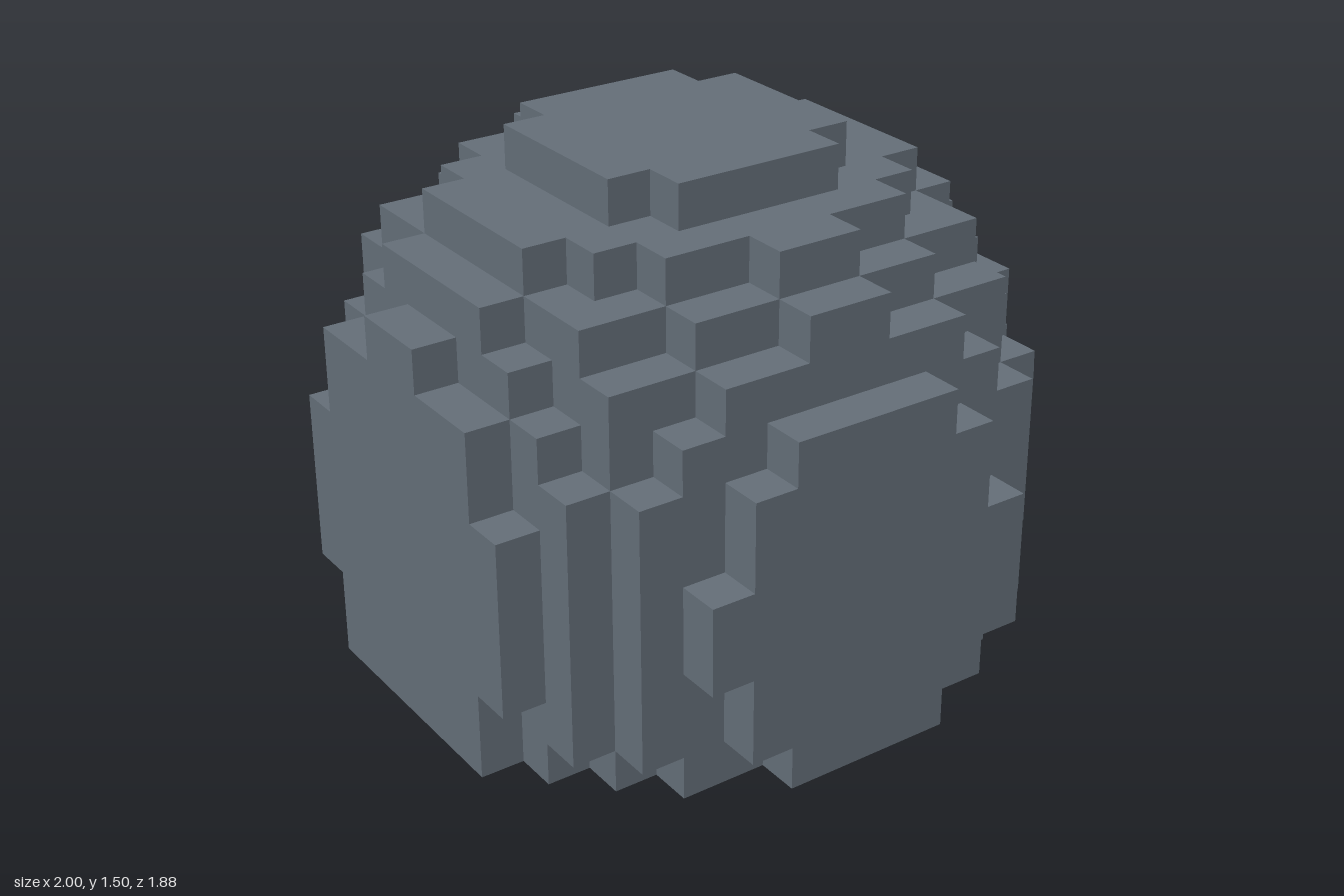
import * as THREE from 'three';
import { mergeGeometries } from 'three/addons/utils/BufferGeometryUtils.js';

// Cell size and grid dimensions
const S = 0.125, NX = 16, NY = 12, NZ = 15;

const inEllipsoid = (c, r) => (i, j, k) =>
  ((i + 0.5 - c[0]) / r[0]) ** 2 + ((j + 0.5 - c[1]) / r[1]) ** 2 + ((k + 0.5 - c[2]) / r[2]) ** 2 <= 1;

// A big blocky dome and a smaller one set into its back corner
const inMain = inEllipsoid([7, 4, 8], [7.8, 8.3, 7.4]);
const inSide = inEllipsoid([10.95, 2.98, 5.05], [5.004, 5.042, 5.004]);

const inGrid = (i, j, k) => i >= 0 && j >= 0 && k >= 0 && i < NX && j < NY && k < NZ;
const isSolid = (i, j, k) => inGrid(i, j, k) && (inMain(i, j, k) || inSide(i, j, k));

// One square per side of a cell, each facing outwards
const faces = [
  [1, 0, 0], [-1, 0, 0], [0, 1, 0], [0, -1, 0], [0, 0, 1], [0, 0, -1],
].map((dir) => {
  const normal = new THREE.Vector3(...dir);
  const turn = new THREE.Quaternion().setFromUnitVectors(new THREE.Vector3(0, 0, 1), normal);
  const square = new THREE.PlaneGeometry(S, S).applyQuaternion(turn);
  square.translate(...normal.multiplyScalar(S / 2).toArray());
  return { dir, square };
});

// Skin of the chosen cells, leaving out squares hidden between solid cells
function blockSkin(belongs) {
  const squares = [];
  for (let i = 0; i < NX; i++)
    for (let j = 0; j < NY; j++)
      for (let k = 0; k < NZ; k++) {
        if (!belongs(i, j, k)) continue;
        for (const { dir, square } of faces) {
          if (isSolid(i + dir[0], j + dir[1], k + dir[2])) continue;
          squares.push(square.clone().translate(
            (i + 0.5 - NX / 2) * S, (j + 0.5) * S, (k + 0.5 - NZ / 2) * S));
        }
      }
  return mergeGeometries(squares);
}

export function createModel() {
  const group = new THREE.Group();
  group.name = 'boulder';
  const stone = new THREE.MeshStandardMaterial({ color: 0x66707a });

  const add = (name, belongs) => {
    const mesh = new THREE.Mesh(blockSkin(belongs), stone);
    mesh.name = name;
    group.add(mesh);
  };
  add('mainStone', inMain);
  add('sideStone', (i, j, k) => inSide(i, j, k) && !inMain(i, j, k));
  return group;
}
